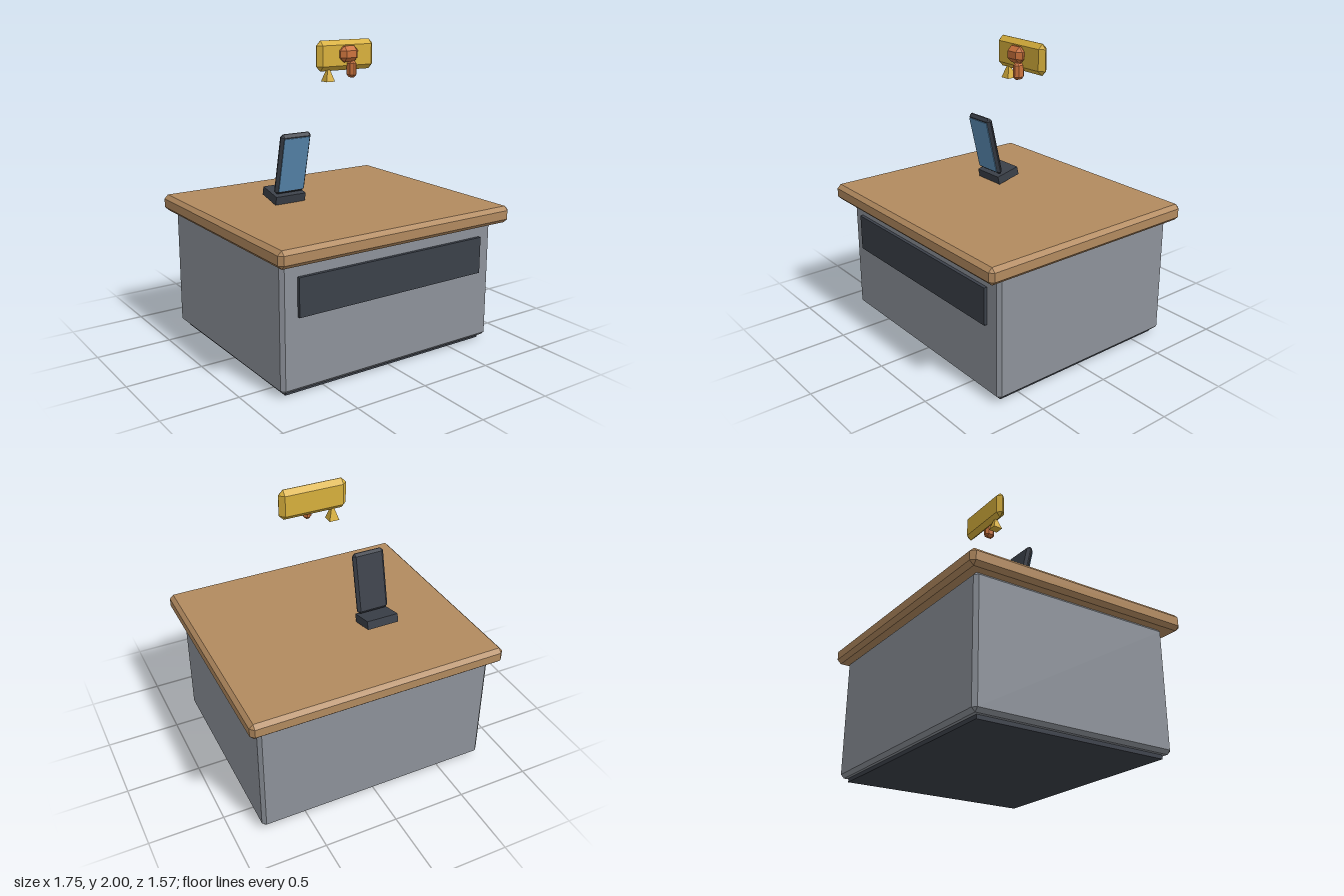
import * as THREE from 'three';
import { ConvexGeometry } from 'three/addons/geometries/ConvexGeometry.js';

const material = (name, color) => {
  const m = new THREE.MeshStandardMaterial({ color });
  m.name = name;
  return m;
};

// Box with flat chamfered edges and corners
function chamferBox(w, h, d, c) {
  const points = [];
  for (const x of [-w / 2, w / 2])
    for (const y of [-h / 2, h / 2])
      for (const z of [-d / 2, d / 2]) {
        const ix = x - Math.sign(x) * c, iy = y - Math.sign(y) * c, iz = z - Math.sign(z) * c;
        points.push(
          new THREE.Vector3(x, iy, iz),
          new THREE.Vector3(ix, y, iz),
          new THREE.Vector3(ix, iy, z)
        );
      }
  return new ConvexGeometry(points);
}

export function createModel() {
  const wood = material('wood', 0xb28a5f);
  const grey = material('cabinet grey', 0x8d929a);
  const dark = material('dark slate', 0x3b4049);
  const blue = material('screen blue', 0x5a8bb3);
  const yellow = material('sign yellow', 0xd8b03c);
  const orange = material('symbol orange', 0xcc733d);

  const model = new THREE.Group();
  model.name = 'serviceCounter';
  const add = (parent, name, geometry, mat, x, y, z) => {
    const mesh = new THREE.Mesh(geometry, mat);
    mesh.name = name;
    mesh.position.set(x, y, z);
    parent.add(mesh);
    return mesh;
  };

  // Counter
  const counter = new THREE.Group();
  counter.name = 'counter';
  model.add(counter);
  add(counter, 'plinth', new THREE.BoxGeometry(1.53, 0.04, 1.31), dark, 0, 0.02, -0.02);
  add(counter, 'cabinet', chamferBox(1.62, 0.815, 1.4, 0.023), grey, 0, 0.433, -0.02);
  add(counter, 'frontPanel', new THREE.BoxGeometry(1.4, 0.245, 0.04), dark, 0, 0.619, 0.682);
  add(counter, 'countertop', chamferBox(1.75, 0.11, 1.57, 0.026), wood, 0, 0.89, 0);

  // Tablet leaning on a tilted foot
  const tilt = 0.23;
  add(model, 'tabletFoot', new THREE.BoxGeometry(0.225, 0.058, 0.175), dark, -0.27, 0.992, -0.173).rotation.x = tilt;
  const tablet = new THREE.Group();
  tablet.name = 'tablet';
  tablet.position.set(-0.27, 1.22, -0.064);
  tablet.rotation.x = tilt;
  model.add(tablet);
  add(tablet, 'tabletCase', chamferBox(0.225, 0.42, 0.044, 0.018), dark, 0, 0, 0);
  add(tablet, 'tabletScreen', new THREE.BoxGeometry(0.19, 0.37, 0.008), blue, 0, 0, 0.0225);

  // Floating sign with its pointer and raised symbol
  const sign = new THREE.Group();
  sign.name = 'sign';
  model.add(sign);
  add(sign, 'signBoard', chamferBox(0.446, 0.197, 0.066, 0.031), yellow, 0.132, 1.9015, -0.047);
  const pointer = new THREE.ConeGeometry(0.033 * Math.SQRT2, 0.105, 4);
  pointer.rotateY(Math.PI / 4);
  const cone = pointer.toNonIndexed();
  cone.computeVertexNormals();
  add(sign, 'signPointer', cone, yellow, 0, 1.7875, -0.047);
  add(sign, 'symbolHead', chamferBox(0.137, 0.105, 0.074, 0.03), orange, 0.13, 1.911, 0);
  add(sign, 'symbolStem', chamferBox(0.052, 0.11, 0.074, 0.018), orange, 0.154, 1.812, 0);

  return model;
}
